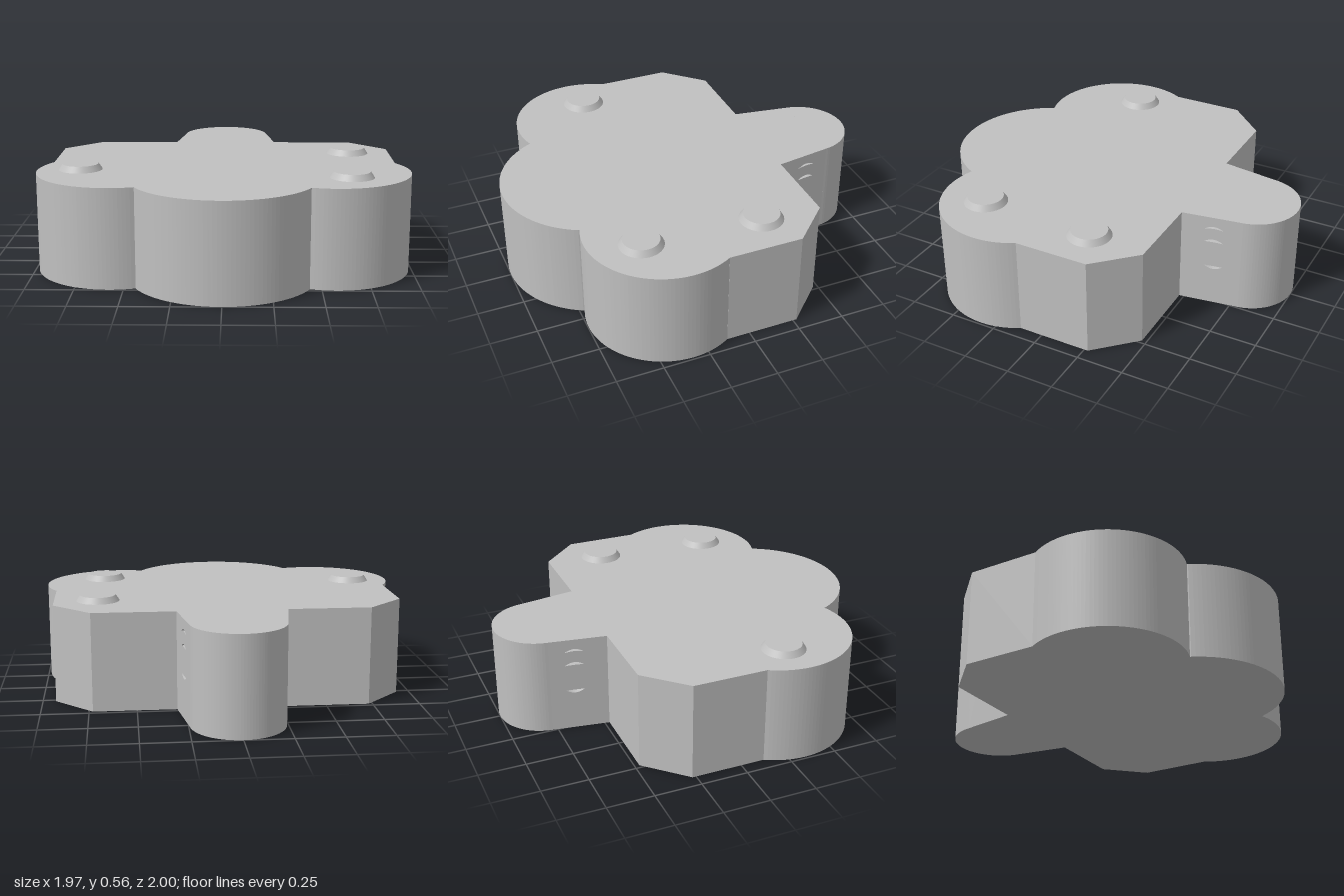
import * as THREE from 'three';

const HEIGHT = 0.525;
const BACK = -0.475;      // back wall of the body
const NECK_END = -0.78;   // where the rounded neck tip begins

const grey = new THREE.MeshStandardMaterial({ color: 0xc0c0c0 });
grey.name = 'plain grey';

function addMesh(group, name, geometry) {
  const mesh = new THREE.Mesh(geometry, grey);
  mesh.name = name;
  group.add(mesh);
  return mesh;
}

// Stand a plan outline, drawn as (x, z), up from the ground
function slab(shape) {
  const geo = new THREE.ExtrudeGeometry(shape, { depth: HEIGHT, bevelEnabled: false, curveSegments: 24 });
  return geo.rotateX(Math.PI / 2).translate(0, HEIGHT, 0);
}

// Arc around (cx, cz) between two points on or near the circle
function arc(shape, cx, cz, r, from, to) {
  shape.absarc(cx, cz, r, Math.atan2(from[1] - cz, from[0] - cx), Math.atan2(to[1] - cz, to[0] - cx), false);
}

// Main body: chamfered back corners and three round front lobes
function bodyShape() {
  const s = new THREE.Shape();
  s.moveTo(-0.73, BACK);
  s.lineTo(0.73, BACK);
  s.lineTo(0.93, -0.27);
  s.lineTo(0.93, 0.125);
  arc(s, 0.575, 0.335, 0.412, [0.93, 0.125], [0.437, 0.73]);
  arc(s, 0, 0.511, 0.489, [0.437, 0.73], [-0.437, 0.73]);
  arc(s, -0.575, 0.335, 0.412, [-0.437, 0.73], [-0.93, 0.125]);
  s.lineTo(-0.93, -0.27);
  s.closePath();
  return s;
}

// Neck: side profile with crescent slots, extruded across and tapered to the back
function neckGeometry() {
  const s = new THREE.Shape();
  s.moveTo(-BACK, 0);
  s.lineTo(-NECK_END, 0);
  s.lineTo(-NECK_END, HEIGHT);
  s.lineTo(-BACK, HEIGHT);
  s.closePath();
  // Each slot: height of its ends, rise of its upper curve, rise of its lower curve
  for (const [y, upper, lower] of [[0.453, 0.018, 0.006], [0.376, 0.018, 0.002], [0.23, 0, -0.018]]) {
    const hole = new THREE.Path();
    hole.moveTo(0.598, y);
    hole.quadraticCurveTo(0.648, y + 2 * upper, 0.698, y);
    hole.quadraticCurveTo(0.648, y + 2 * lower, 0.598, y);
    s.holes.push(hole);
  }
  const geo = new THREE.ExtrudeGeometry(s, { depth: 2, bevelEnabled: false, curveSegments: 10 });
  geo.translate(0, 0, -1).rotateY(Math.PI / 2);
  const p = geo.attributes.position;
  for (let i = 0; i < p.count; i++) {
    const t = (p.getZ(i) - BACK) / (NECK_END - BACK);
    p.setX(i, p.getX(i) * THREE.MathUtils.lerp(0.29, 0.2437, t));
  }
  geo.computeVertexNormals();
  return geo;
}

export function createModel() {
  const model = new THREE.Group();
  model.name = 'lobedBlock';

  addMesh(model, 'body', slab(bodyShape()));
  addMesh(model, 'slottedNeck', neckGeometry());

  // Rounded end of the neck
  const tip = new THREE.Shape();
  arc(tip, 0, -0.755, 0.245, [-0.2437, NECK_END], [0.2437, NECK_END]);
  tip.closePath();
  addMesh(model, 'neckTip', slab(tip));

  // Raised buttons with sloping rims
  for (const [x, z] of [[0.695, -0.158], [-0.76, 0.302], [0.662, 0.48]]) {
    addMesh(model, 'button', new THREE.CylinderGeometry(0.095, 0.116, 0.032, 40))
      .position.set(x, HEIGHT + 0.016, z);
  }
  return model;
}
